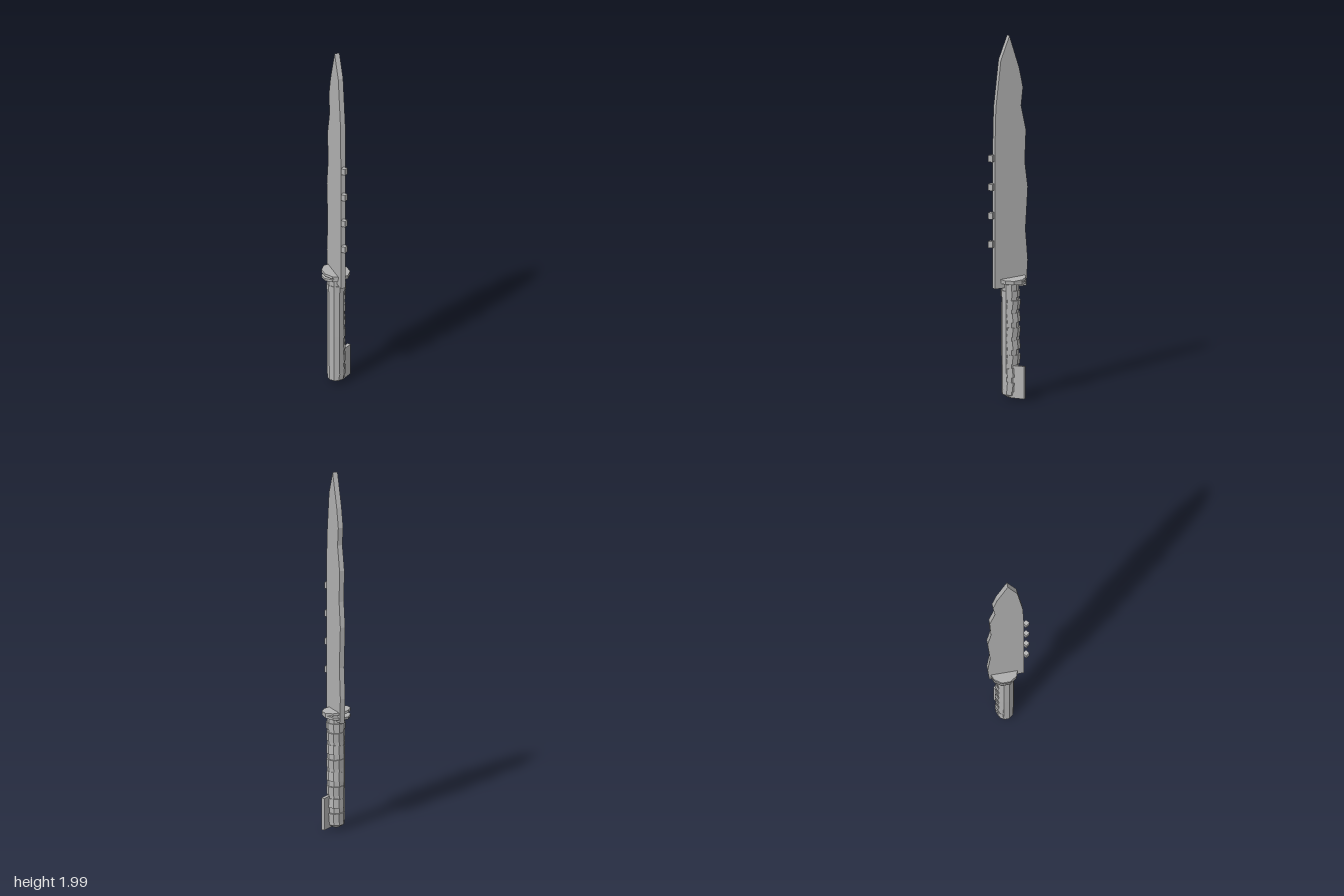
import * as THREE from 'three';

export function createModel() {
  const model = new THREE.Group();
  const grey = new THREE.MeshStandardMaterial({ color: 0xb2b2b2, flatShading: true });
  grey.name = 'steel grey';

  const add = (name, geometry, x = 0, y = 0, z = 0, rot = [0, 0, 0]) => {
    const mesh = new THREE.Mesh(geometry, grey);
    mesh.name = name;
    mesh.position.set(x, y, z);
    mesh.rotation.set(...rot);
    model.add(mesh);
    return mesh;
  };

  // Blade: straight spine at the front, wavy edge at the back (points are -z, y)
  const outline = [
    [-0.086, 0.62], [-0.086, 1.37], [-0.08, 1.61], [-0.05, 1.87], [0.002, 2],
    [0.06, 1.82], [0.083, 1.71], [0.072, 1.61], [0.101, 1.475], [0.094, 1.3],
    [0.112, 1.16], [0.098, 0.93], [0.112, 0.76], [0.103, 0.62],
  ].map(([a, b]) => new THREE.Vector2(a, b));
  const blade = new THREE.ExtrudeGeometry(new THREE.Shape(outline.reverse()), {
    depth: 0.028, bevelEnabled: false,
  });
  blade.rotateY(Math.PI / 2);
  add('blade', blade, -0.026);

  // Small twisted studs along the spine
  const twist = THREE.MathUtils.degToRad(36);
  for (let i = 0; i < 4; i++) {
    add('spineStud', new THREE.BoxGeometry(0.025, 0.036, 0.025),
      -0.012, 0.865 + i * 0.157, 0.1, [0, twist, 0]);
  }

  // Guard: two crossed, tilted discs
  const disc = (r, h) => new THREE.CylinderGeometry(r, r, h, 10);
  add('upperGuard', disc(0.077, 0.014), -0.011, 0.668, -0.022, [0.06, 0, -0.1]);
  add('lowerGuard', disc(0.076, 0.014), -0.011, 0.647, -0.022, [-0.08, 0, 0.05]);

  // Handle with a pointed pommel
  const grip = new THREE.LatheGeometry([
    [0, 0.008], [0.02, 0.018], [0.046, 0.034], [0.049, 0.3], [0.048, 0.64], [0, 0.64],
  ].map(([r, y]) => new THREE.Vector2(r, y)), 10);
  add('handle', grip, -0.013, 0, -0.014);
  add('collar', disc(0.053, 0.035), -0.011, 0.587, -0.014);

  // Slightly tilted grip wraps, standing proud towards the back left
  for (let i = 0; i < 7; i++) {
    const tilt = i % 2 ? 0.06 : -0.06;
    add('gripWrap', disc(0.049, 0.05), -0.009, 0.08 + i * 0.075, -0.018, [tilt, 0, tilt]);
  }

  // Side tab at the foot of the handle
  add('sideTab', new THREE.BoxGeometry(0.09, 0.178, 0.019), 0.043, 0.108, -0.027, [0, twist, 0]);

  return model;
}
